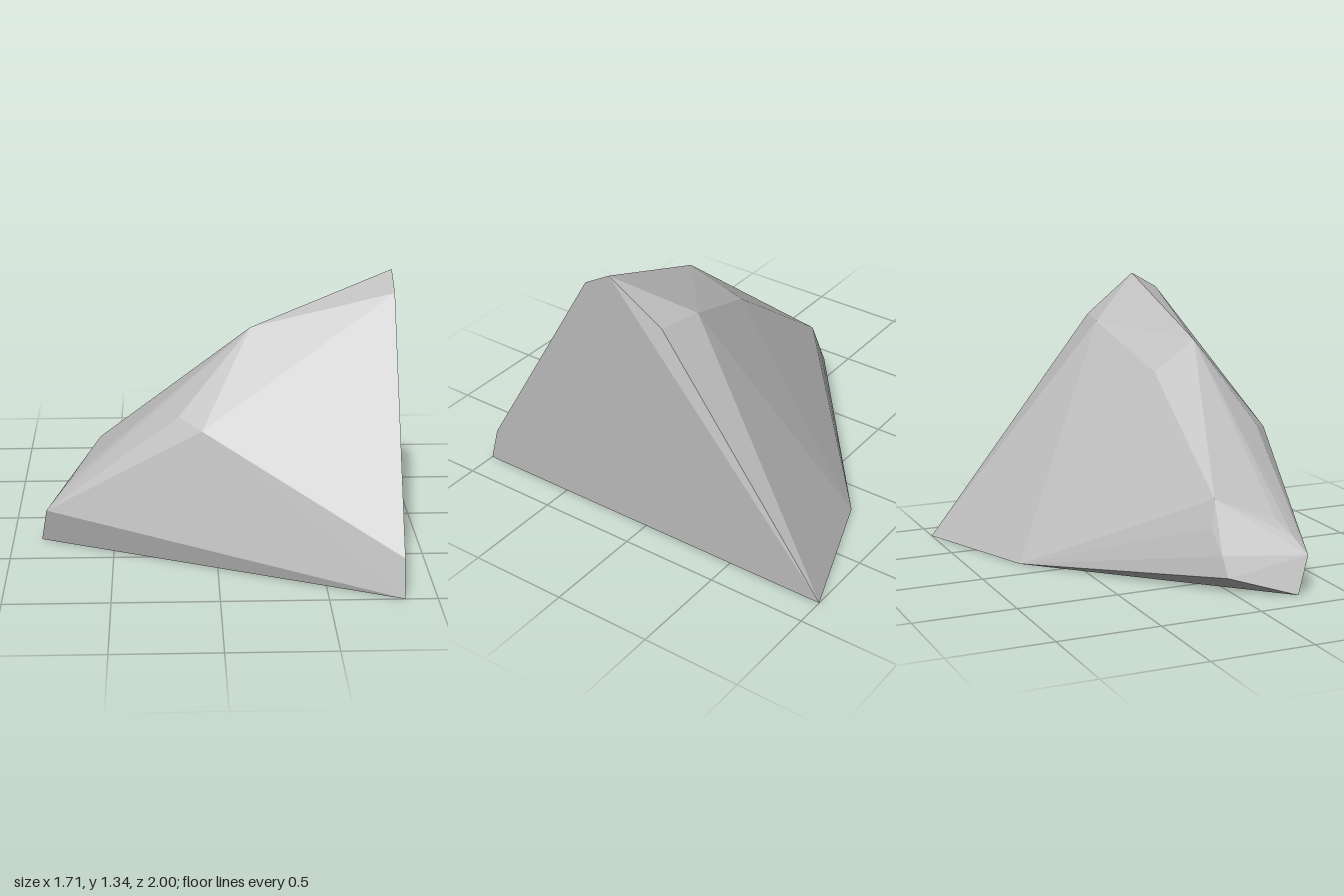
import * as THREE from 'three';
import { ConvexGeometry } from 'three/addons/geometries/ConvexGeometry.js';

// Faceted boulder: flat base, one sheer broken side, tapering to a low nose.
export function createModel() {
  const group = new THREE.Group();
  group.name = 'rock';

  const stone = new THREE.MeshStandardMaterial({ color: 0xbcbcbc });
  stone.name = 'grey stone';

  const corners = [
    // base
    [0.85, 0, 1], [0.85, 0, -1], [0.17, 0, -0.75], [-0.86, 0, 0.27],
    // sheer side and peak
    [0.85, 0.18, 0.95], [0.85, 1.26, 0.3], [0.85, 1.34, 0.16], [0.82, 1.14, -0.11],
    // upper ridge
    [0.17, 1.07, 0.21], [0.6, 1.13, -0.15], [0.1, 0.93, -0.04],
    // front slope
    [-0.18, 0.68, 0.39], [-0.07, 0.64, 0.49],
    // low nose
    [-0.83, 0.18, 0.335], [-0.76, 0.26, 0.29], [-0.69, 0.33, 0.24],
    // back shoulder
    [-0.57, 0.43, -0.03], [-0.6, 0.3, -0.06], [-0.68, 0.18, -0.04], [-0.72, 0.08, -0.03],
  ].map((p) => new THREE.Vector3(...p));

  const boulder = new THREE.Mesh(new ConvexGeometry(corners), stone);
  boulder.name = 'boulder';
  group.add(boulder);
  return group;
}
